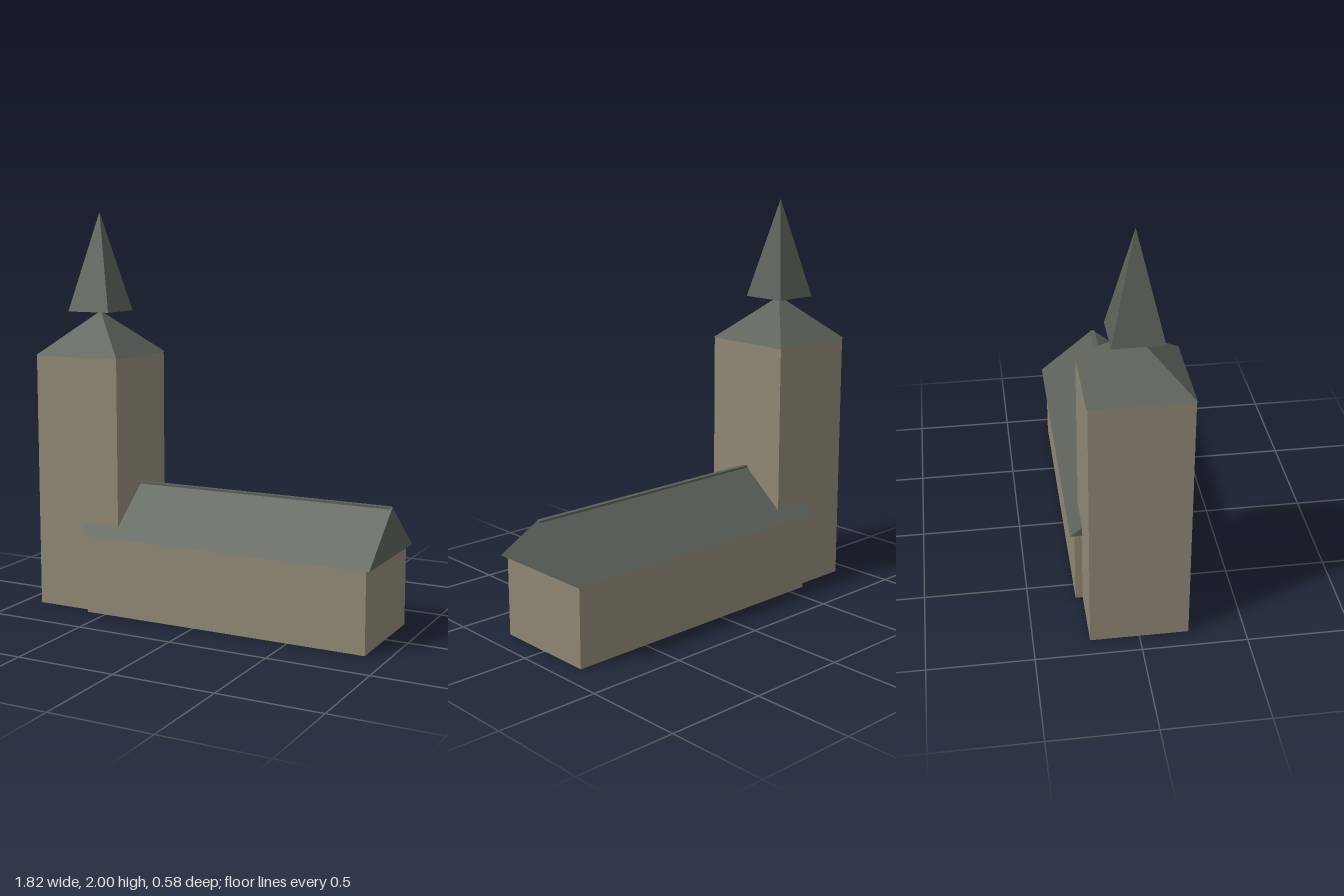
import * as THREE from 'three';

const wallMaterial = new THREE.MeshStandardMaterial({ color: 0x8f8775, flatShading: true });
const roofMaterial = new THREE.MeshStandardMaterial({ color: 0x5a6058, flatShading: true });

export function createModel() {
  const church = new THREE.Group();
  church.name = 'church';

  const add = (name, geometry, material, x, y) => {
    const mesh = new THREE.Mesh(geometry, material);
    mesh.name = name;
    mesh.position.set(x, y, 0);
    church.add(mesh);
  };

  // Block standing on height y
  const block = (name, material, x, y, width, height, depth) =>
    add(name, new THREE.BoxGeometry(width, height, depth), material, x, y + height / 2);

  // Square pyramid with sides parallel to the axes
  const pyramid = (name, x, y, half, height) => {
    const geometry = new THREE.ConeGeometry(half * Math.SQRT2, height, 4);
    geometry.rotateY(Math.PI / 4);
    add(name, geometry, roofMaterial, x, y + height / 2);
  };

  // Tower with its low roof and the spire balanced on the tip
  const towerX = -0.673;
  block('towerWalls', wallMaterial, towerX, 0, 0.468, 1.285, 0.468);
  pyramid('towerRoof', towerX, 1.285, 0.238, 0.217);
  pyramid('spire', towerX, 1.502, 0.118, 0.498);

  // Nave walls
  block('naveWalls', wallMaterial, 0.144, 0, 1.488, 0.402, 0.538);

  // Gabled nave roof, extruded along x
  const gable = new THREE.Shape([
    new THREE.Vector2(-0.292, 0),
    new THREE.Vector2(0.292, 0),
    new THREE.Vector2(0, 0.24),
  ]);
  const roofLength = 1.538;
  const roof = new THREE.ExtrudeGeometry(gable, { depth: roofLength, bevelEnabled: false });
  roof.translate(0, 0, -roofLength / 2);
  roof.rotateY(Math.PI / 2);
  add('naveRoof', roof, roofMaterial, 0.142, 0.4);

  // Ridge beam along the top of the nave roof
  block('roofRidge', roofMaterial, 0.14, 0.629, 1.524, 0.012, 0.024);

  return church;
}
